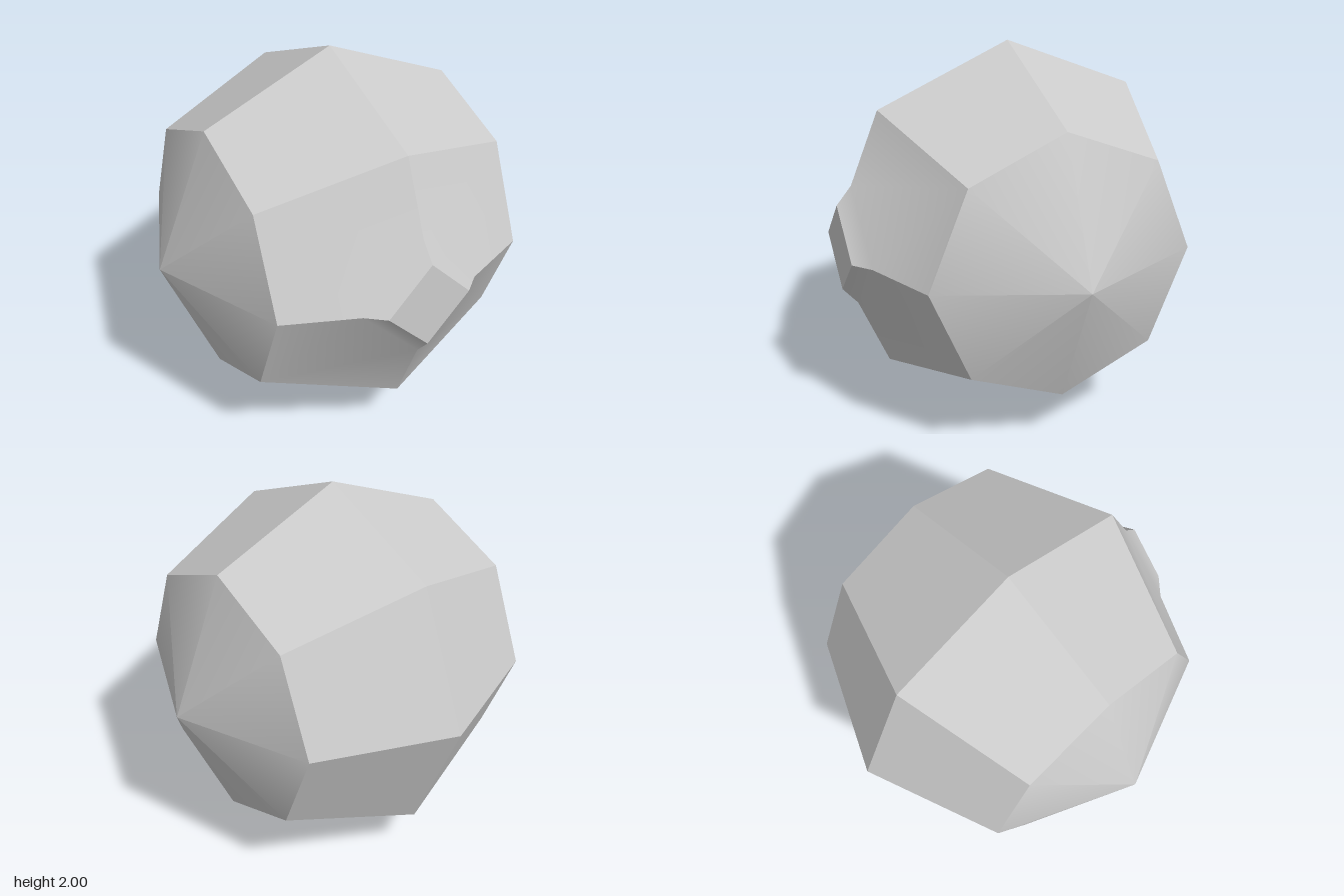
import * as THREE from 'three';
import { toCreasedNormals } from 'three/addons/utils/BufferGeometryUtils.js';

const H = Math.SQRT1_2;          // side ring offset and radius
const RIM = 0.33, CAP = 0.235;   // half-diagonals of the flare and of the flat cap
const RIM_Z = 1 - RIM * (Math.SQRT2 - 1), CAP_Z = 0.943;

// Point on the ring at x with radius r; step 0 faces +z, step 2 is up
const ring = (x, r, step) => {
  const a = step * Math.PI / 4;
  return [x, r * Math.sin(a), r * Math.cos(a)];
};

// Mirror polygons into all four x/y quadrants, fan-triangulate, then crease
function mirroredGeometry(polygons) {
  const pos = [];
  for (const sx of [1, -1]) for (const sy of [1, -1]) {
    for (const poly of polygons) {
      for (let i = 1; i < poly.length - 1; i++) {
        const tri = [poly[0], poly[i], poly[i + 1]];
        if (sx * sy < 0) tri.reverse();
        for (const [x, y, z] of tri) pos.push(x * sx, y * sy, z);
      }
    }
  }
  const geo = new THREE.BufferGeometry();
  geo.setAttribute('position', new THREE.Float32BufferAttribute(pos, 3));
  return toCreasedNormals(geo, Math.PI / 6);
}

export function createModel() {
  const group = new THREE.Group();
  const grey = new THREE.MeshStandardMaterial({ color: 0xcccccc });
  grey.name = 'light grey';

  const rimSide = [RIM, 0, RIM_Z], rimTop = [0, RIM, RIM_Z];
  const capSide = [CAP, 0, CAP_Z], capTop = [0, CAP, CAP_Z];

  // Faceted ball: flat band panels, smooth side cones, flare at the front
  const panels = [[capSide, rimSide, rimTop, capTop]];
  for (let i = 0; i < 4; i++) {
    const a = ring(0, 1, i), b = ring(H, H, i);
    const c = ring(H, H, i + 1), d = ring(0, 1, i + 1);
    panels.push(i === 0 ? [c, d, rimTop, rimSide, b] : [a, b, c, d]);
    panels.push([b, [1, 0, 0], c]);
  }
  const body = new THREE.Mesh(mirroredGeometry(panels), grey);
  body.name = 'body';

  // Flat diamond on the end of the flare
  const cap = new THREE.Mesh(mirroredGeometry([[[0, 0, CAP_Z], capSide, capTop]]), grey);
  cap.name = 'frontCap';

  for (const mesh of [body, cap]) {
    mesh.position.set(0, 1, 0.0285);
    group.add(mesh);
  }
  return group;
}
